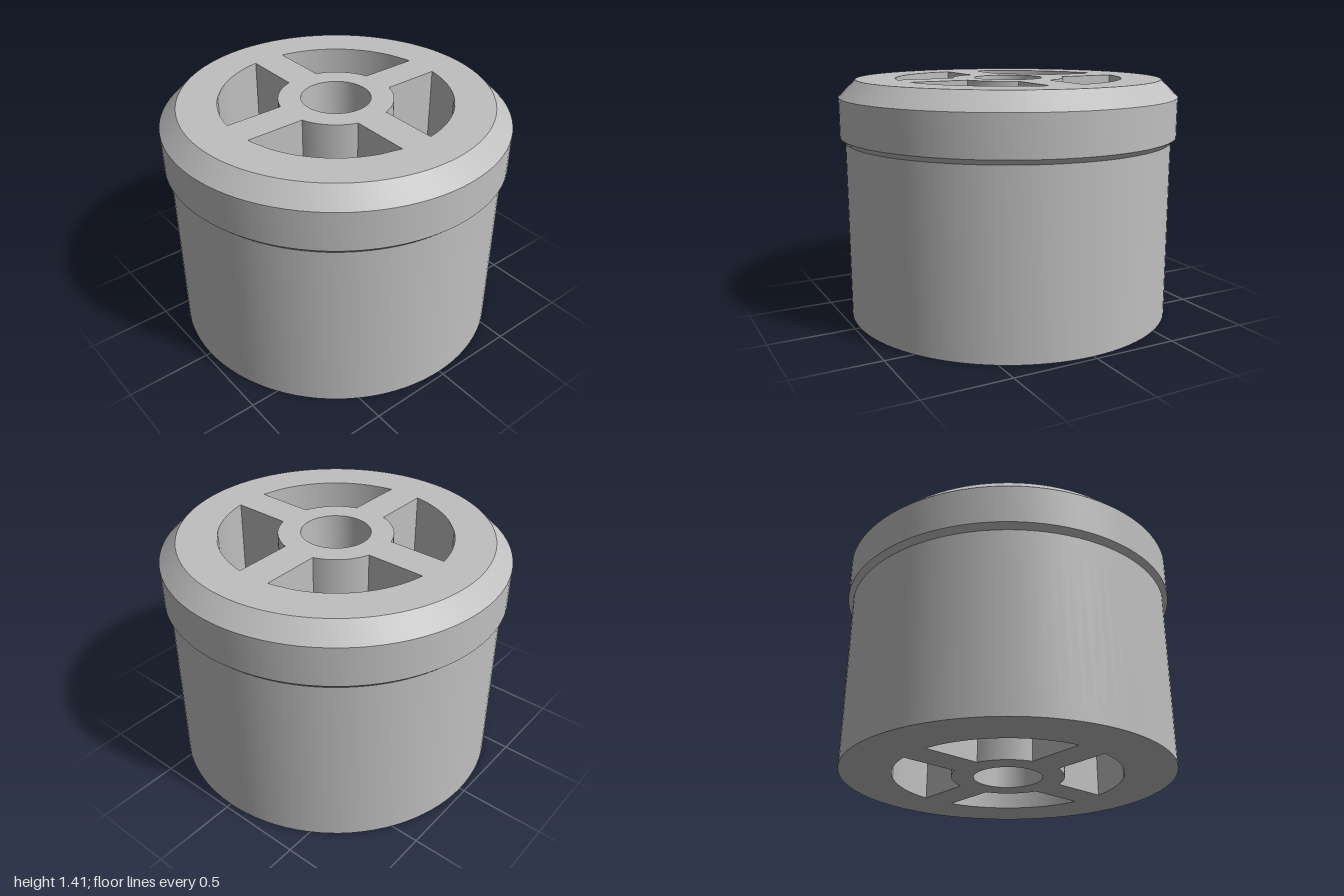
import * as THREE from 'three';
import { toCreasedNormals } from 'three/addons/utils/BufferGeometryUtils.js';

// Outer skin: height and radius at each level, bottom to top
const HEIGHTS = [0, 1.05, 1.08, 1.31, 1.41];
const RADII = [0.97, 0.97, 1, 1, 0.9];
const RIM = 0.67, HUB = 0.33, BORE = 0.2, HALF_SPOKE = 0.1;

// Points along an arc, both ends included
function arc(radius, from, to, segments) {
  return Array.from({ length: segments + 1 }, (_, i) => {
    const a = from + (to - from) * i / segments;
    return new THREE.Vector2(radius * Math.cos(a), radius * Math.sin(a));
  });
}

// Full circle without a repeated end point
const circle = (radius, segments) => arc(radius, 0, Math.PI * 2, segments).slice(0, -1);

// Opening between two spokes, bounded by the rim and the hub
function pocket(turn) {
  const outer = Math.asin(HALF_SPOKE / RIM), inner = Math.asin(HALF_SPOKE / HUB);
  const quarter = Math.PI / 2;
  return new THREE.Path([
    ...arc(RIM, turn + outer, turn + quarter - outer, 24),
    ...arc(HUB, turn + quarter - inner, turn + inner, 12),
  ]);
}

export function createModel() {
  const model = new THREE.Group();
  model.name = 'spokedPlug';
  const grey = new THREE.MeshStandardMaterial({ color: 0xbfbfbf });
  grey.name = 'grey';

  // Wheel-shaped section with a central bore and four pockets
  const section = new THREE.Shape(circle(1, 96));
  section.holes.push(new THREE.Path(circle(BORE, 48)));
  for (let i = 0; i < 4; i++) section.holes.push(pocket(i * Math.PI / 2));

  const steps = HEIGHTS.length - 1;
  const geometry = new THREE.ExtrudeGeometry(section, { depth: steps, steps, bevelEnabled: false });

  // Set each level's height and shape the outer skin into a collar with chamfers
  const p = geometry.attributes.position;
  for (let i = 0; i < p.count; i++) {
    const level = Math.round(p.getZ(i));
    const isSkin = Math.hypot(p.getX(i), p.getY(i)) > 0.9;
    const scale = isSkin ? RADII[level] : 1;
    p.setXYZ(i, p.getX(i) * scale, p.getY(i) * scale, HEIGHTS[level]);
  }
  geometry.rotateX(-Math.PI / 2);

  const body = new THREE.Mesh(toCreasedNormals(geometry, 0.4), grey);
  body.name = 'collaredBody';
  model.add(body);
  return model;
}
